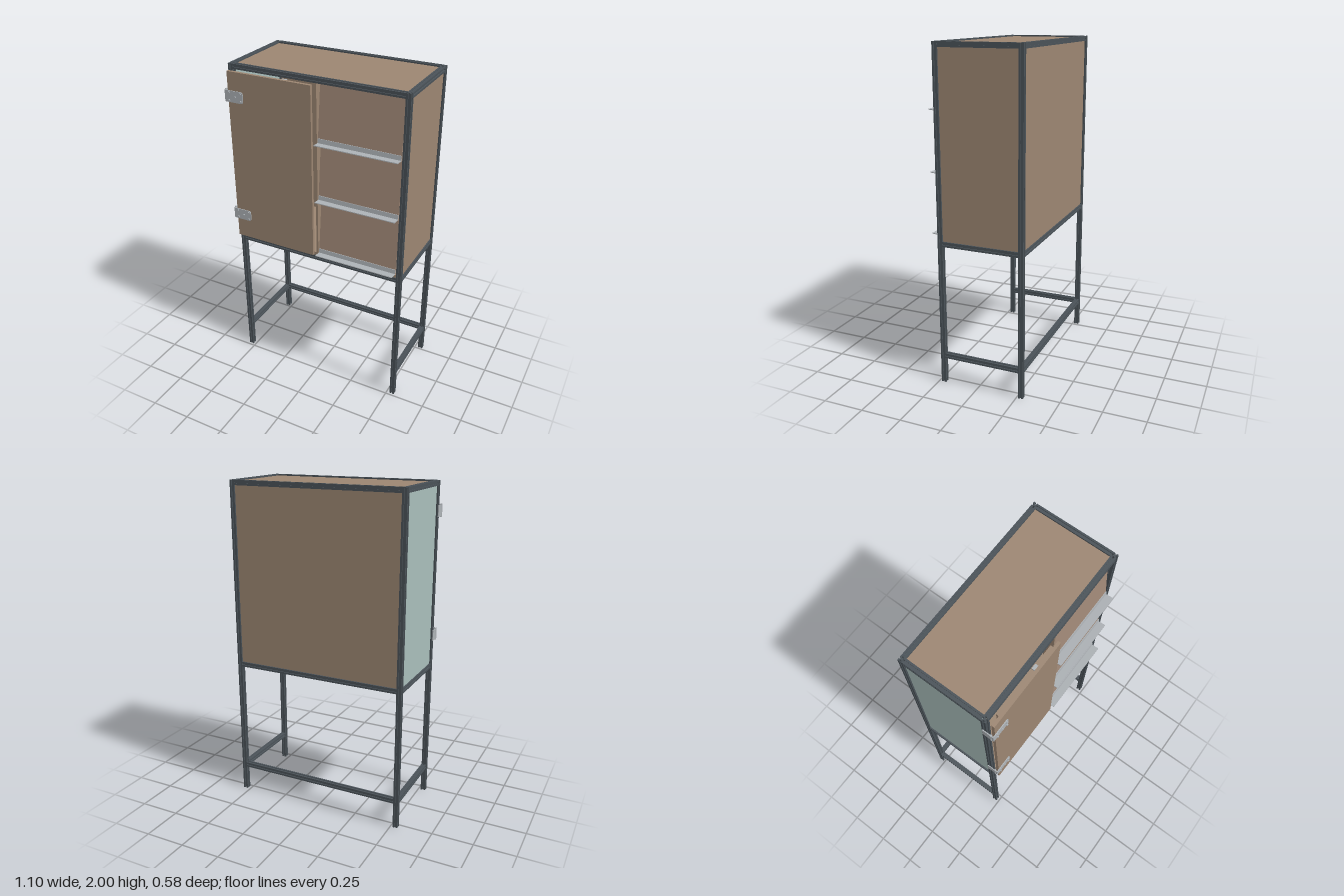
import * as THREE from 'three';

const mat = (name, color) => {
  const m = new THREE.MeshStandardMaterial({ color });
  m.name = name;
  return m;
};

export function createModel() {
  const root = new THREE.Group();
  root.name = 'cabinet';
  const frameMat = mat('dark anodised frame', 0x4a5258);
  const wood = mat('brown board', 0x9c8672);
  const tray = mat('display board', 0xa08877);
  const steel = mat('bare steel', 0xaeb3b7);
  const glass = mat('grey green panel', 0xa9bebb);

  const add = (name, geo, material, parent = root) => {
    const mesh = new THREE.Mesh(geo, material);
    mesh.name = name;
    parent.add(mesh);
    return mesh;
  };
  // Box given by its two opposite corners
  const box = (name, material, x0, x1, y0, y1, z0, z1, parent = root) => {
    const mesh = add(name, new THREE.BoxGeometry(x1 - x0, y1 - y0, z1 - z0), material, parent);
    mesh.position.set((x0 + x1) / 2, (y0 + y1) / 2, (z0 + z1) / 2);
    return mesh;
  };

  // Slotted square section: one side, repeated four times
  const A = 0.015;
  const side = [[-A, -A], [-0.004, -A], [-0.004, -0.0115], [-0.008, -0.0115], [-0.0045, -0.007],
    [0.0045, -0.007], [0.008, -0.0115], [0.004, -0.0115], [0.004, -A]];
  const outline = [];
  for (let i = 0; i < 4; i++) {
    for (const [x, y] of side) {
      outline.push(new THREE.Vector2(x, y).rotateAround(new THREE.Vector2(), i * Math.PI / 2));
    }
  }
  const section = new THREE.Shape(outline);
  const bar = (name, axis, length, x, y, z) => {
    const geo = new THREE.ExtrudeGeometry(section, { depth: length, bevelEnabled: false });
    geo.translate(0, 0, -length / 2);
    if (axis === 'x') geo.rotateY(Math.PI / 2);
    if (axis === 'y') geo.rotateX(Math.PI / 2);
    add(name, geo, frameMat).position.set(x, y, z);
  };

  const L = -0.53, R = 0.535, F = 0.22, B = -0.275;
  const midX = (L + R) / 2, midZ = (F + B) / 2;
  const spanX = R - L - 2 * A, spanZ = F - B - 2 * A;

  // Frame: four posts, two full rings of rails, and low stretchers open at the front
  for (const x of [L, R]) for (const z of [F, B]) bar('post', 'y', 2, x, 1, z);
  for (const y of [1.985, 0.875, 0.175]) {
    const low = y < 0.5;
    for (const x of [L, R]) bar(low ? 'sideStretcher' : 'sideRail', 'z', spanZ, x, y, midZ);
    bar(low ? 'backStretcher' : 'backRail', 'x', spanX, midX, y, B);
    if (!low) bar('frontRail', 'x', spanX, midX, y, F);
  }
  // Supports crossing under the floor
  bar('floorRail', 'x', spanX, midX, 0.875, midZ);
  for (const s of [-1, 1]) bar('floorCrossRail', 'z', spanZ / 2 - A, midX, 0.875, midZ + s * (spanZ / 4 + A / 2));

  // Panels seated in the frame
  const xi = L + A - 0.003, xo = R - A + 0.003, zi = B + A - 0.003, zo = F - A + 0.003;
  box('topPanel', wood, xi, xo, 1.98, 1.992, zi, zo);
  box('floorPanel', wood, xi, xo, 0.89, 0.91, zi, 0.23);
  box('backPanel', wood, xi, xo, 0.887, 1.973, B - 0.006, B + 0.006);
  box('rightPanel', glass, L - 0.006, L + 0.006, 0.887, 1.973, zi, zo);
  box('leftPanel', wood, R - 0.006, R + 0.006, 0.887, 1.973, zi, zo);

  // Door with a raised inner pad and a small catch on top
  const door = new THREE.Group();
  door.name = 'door';
  root.add(door);
  box('doorPanel', wood, -0.53, 0, 0.915, 1.968, 0.256, 0.274, door);
  box('doorPad', wood, -0.47, -0.035, 0.93, 1.955, 0.238, 0.256, door);
  box('doorCatch', steel, -0.19, -0.16, 1.955, 1.966, 0.238, 0.256, door);

  // Hinges: rounded leaf, knuckle, return leaf and screws
  const leaf = new THREE.Shape();
  leaf.moveTo(-0.548, -0.034);
  leaf.lineTo(-0.445, -0.034);
  leaf.quadraticCurveTo(-0.43, -0.034, -0.43, -0.018);
  leaf.lineTo(-0.43, 0.018);
  leaf.quadraticCurveTo(-0.43, 0.034, -0.445, 0.034);
  leaf.lineTo(-0.548, 0.034);
  for (const y of [1.825, 1.07]) {
    const hinge = new THREE.Group();
    hinge.name = 'hinge';
    hinge.position.y = y;
    root.add(hinge);
    const plate = new THREE.ExtrudeGeometry(leaf, { depth: 0.005, bevelEnabled: false });
    add('hingeLeaf', plate, steel, hinge).position.z = 0.275;
    box('hingeReturn', steel, -0.551, -0.546, -0.034, 0.034, 0.212, 0.277, hinge);
    const pin = add('hingeKnuckle', new THREE.CylinderGeometry(0.006, 0.006, 0.076, 16), steel, hinge);
    pin.position.set(-0.548, 0, 0.264);
    for (const [x, sy] of [[-0.52, 0.022], [-0.52, -0.022], [-0.445, 0.022], [-0.445, -0.022], [-0.48, 0]]) {
      const screw = add('hingeScrew', new THREE.CylinderGeometry(0.006, 0.006, 0.006, 12), steel, hinge);
      screw.rotation.x = Math.PI / 2;
      screw.position.set(x, sy, 0.283);
    }
  }

  // Display side: backing board with three leaning boards on angle ledges
  box('backingBoard', wood, 0.002, 0.52, 0.91, 1.97, 0.178, 0.19);
  box('divider', wood, 0.002, 0.014, 0.91, 1.97, 0.19, 0.235);
  for (const [y, top] of [[1.633, 1.965], [1.28, 1.61], [0.92, 1.255]]) {
    const stand = new THREE.Group();
    stand.name = 'displayShelf';
    stand.position.set(0, y, 0.235);
    stand.rotation.x = -0.1;
    root.add(stand);
    box('displayBoard', tray, 0.02, 0.515, -0.005, top - y, -0.01, 0, stand);
    box('ledgeFlange', steel, 0.02, 0.515, 0, 0.026, 0, 0.004, stand);
    box('ledge', steel, 0.02, 0.515, -0.005, 0, 0, 0.05, stand);
  }
  return root;
}
